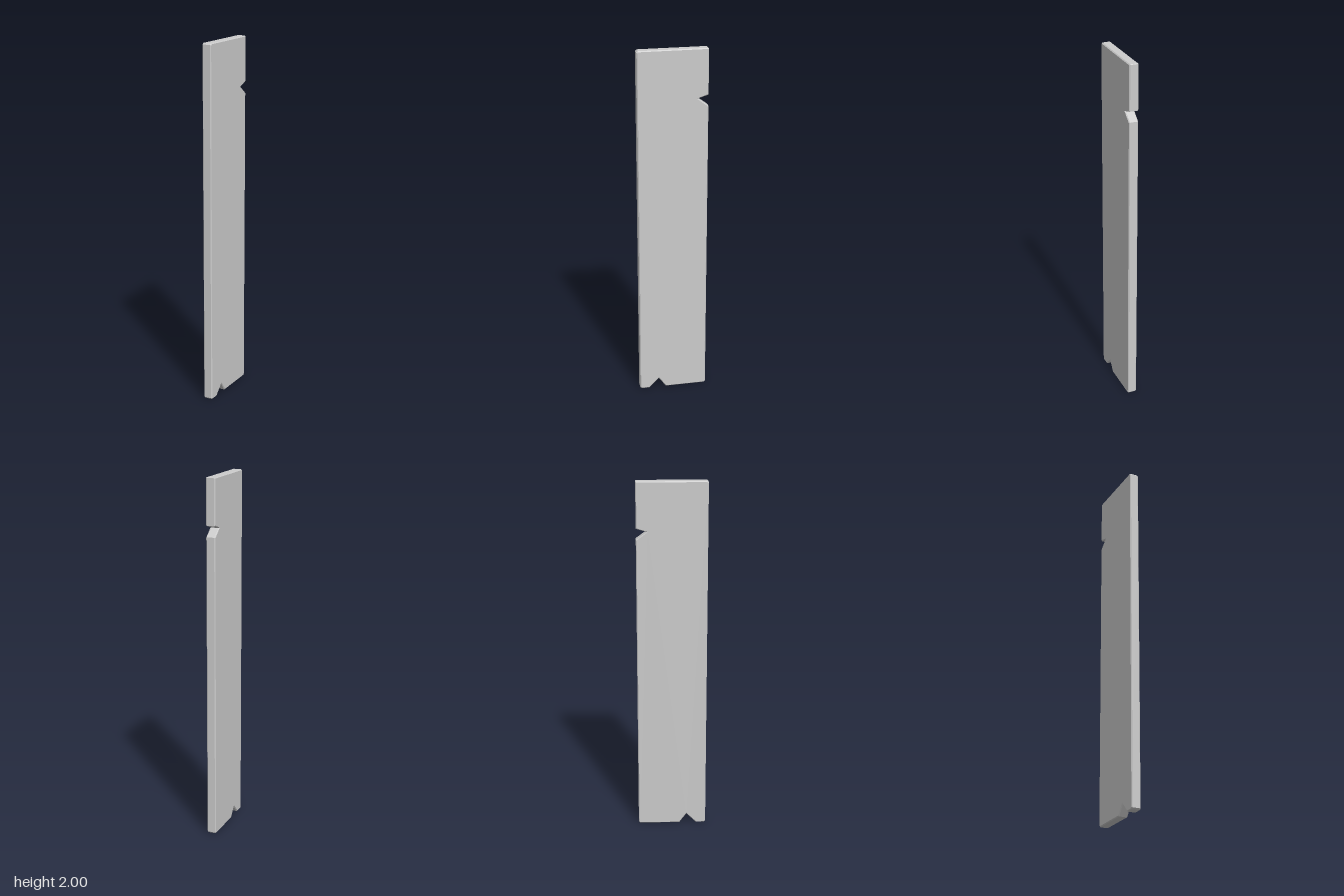
import * as THREE from 'three';

const WIDTH = 0.386, HEIGHT = 2, THICKNESS = 0.052, BEVEL = 0.005, CORNER = 0.008;

export function createModel() {
  const group = new THREE.Group();
  group.name = 'plank';

  // Side outline as (z, y): clipped corners, a split in the foot and a nick in the back edge
  const w = WIDTH / 2, c = CORNER;
  const outline = new THREE.Shape([
    [-w + c, 0], [0.042, 0], [0.083, 0.056], [0.138, 0], [w - c, 0],
    [w, c], [w, HEIGHT - c], [w - c, HEIGHT],
    [-w + 0.003, HEIGHT], [-w, HEIGHT - 0.003],
    [-w, 1.748], [-0.135, 1.73], [-w, 1.688], [-w, c],
  ].map(([z, y]) => new THREE.Vector2(z, y)));

  // Extrude through the thickness with a small chamfer on both broad faces
  const geometry = new THREE.ExtrudeGeometry(outline, {
    depth: THICKNESS - 2 * BEVEL,
    bevelEnabled: true,
    bevelThickness: BEVEL,
    bevelSize: BEVEL,
    bevelOffset: -BEVEL,
    bevelSegments: 1,
  });
  geometry.translate(0, 0, BEVEL - THICKNESS / 2);
  geometry.rotateY(-Math.PI / 2);

  const board = new THREE.Mesh(
    geometry,
    new THREE.MeshStandardMaterial({ color: 0xcccccc, flatShading: true }),
  );
  board.name = 'board';
  group.add(board);
  return group;
}
